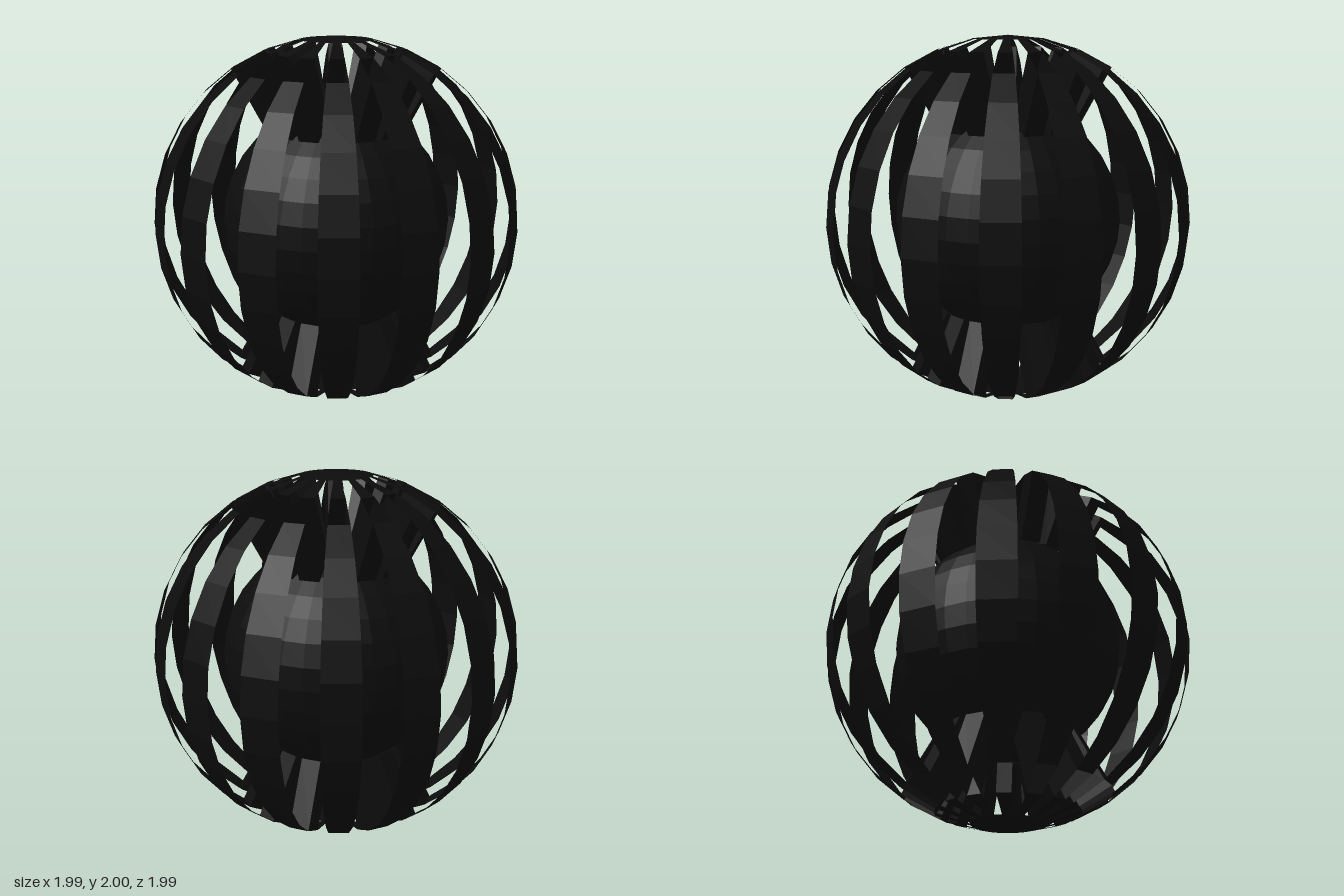
import * as THREE from 'three';

const STRIPS = 16;          // slats around the cage
const ROWS = 16;            // rings from pole to pole
const HALF = Math.PI / 32;  // half the angular width of a slat
const PIT_DEPTH = 0.375;    // how far the pockets sink in
const CORE_RADIUS = 0.622;

// Corner of a slat: ring i, side s (-1 or 1)
function corner(i, s) {
  const t = (i * Math.PI) / ROWS;
  return new THREE.Vector3(
    Math.sin(t) * Math.sin(s * HALF), Math.cos(t), Math.sin(t) * Math.cos(s * HALF));
}

const rowCorners = (i) => [corner(i, -1), corner(i + 1, -1), corner(i + 1, 1), corner(i, 1)];

// Flat-shaded geometry from a list of four-cornered faces
function quads(list) {
  const points = [];
  for (const [a, b, c, d] of list) points.push(a, b, c, a, c, d);
  const geometry = new THREE.BufferGeometry().setFromPoints(points);
  geometry.computeVertexNormals();
  return geometry;
}

// Four walls and a floor sunk straight in from one face of a slat
function pocketFaces(row) {
  const p = rowCorners(row);
  const t = ((row + 0.5) * Math.PI) / ROWS;
  const inward = new THREE.Vector3(0, -Math.cos(t), -Math.sin(t)).multiplyScalar(PIT_DEPTH);
  const q = p.map((v) => v.clone().add(inward));
  const faces = [q];
  for (let k = 0; k < 4; k++) {
    const n = (k + 1) % 4;
    faces.push([p[k], p[n], q[n], q[k]]);
  }
  return faces;
}

export function createModel() {
  const model = new THREE.Group();
  model.name = 'cageSphere';
  const black = new THREE.MeshStandardMaterial({ color: 0x0c0c0c, side: THREE.DoubleSide, flatShading: true });
  black.name = 'black';

  const add = (name, geometry, y = 0) => {
    const mesh = new THREE.Mesh(geometry, black);
    mesh.name = name;
    mesh.position.y = 1 + y;
    model.add(mesh);
    return mesh;
  };

  // Curved slats, open where the pockets sink in near both poles
  const pocketRows = [2, ROWS - 3];
  const slatFaces = [];
  for (let i = 1; i < ROWS - 1; i++) {
    if (!pocketRows.includes(i)) slatFaces.push(rowCorners(i));
  }
  const slat = quads(slatFaces);
  const pockets = quads(pocketRows.flatMap(pocketFaces));
  for (let k = 0; k < STRIPS; k++) {
    const angle = ((k + 0.5) * Math.PI * 2) / STRIPS;
    add('slat', slat).rotation.y = angle;
    add('pockets', pockets).rotation.y = angle;
  }

  // Shallow caps joining the slats at the poles
  const capRadius = Math.sin(Math.PI / ROWS);
  const capHeight = 1 - Math.cos(Math.PI / ROWS);
  const cap = new THREE.ConeGeometry(capRadius, capHeight, 32, 1, true);
  cap.rotateY(HALF);
  add('topCap', cap, 1 - capHeight / 2);
  add('bottomCap', cap, -1 + capHeight / 2).rotation.x = Math.PI;

  // Solid ball inside the cage
  const core = new THREE.SphereGeometry(CORE_RADIUS, 32, 16);
  core.rotateY(HALF);
  add('core', core);

  return model;
}
